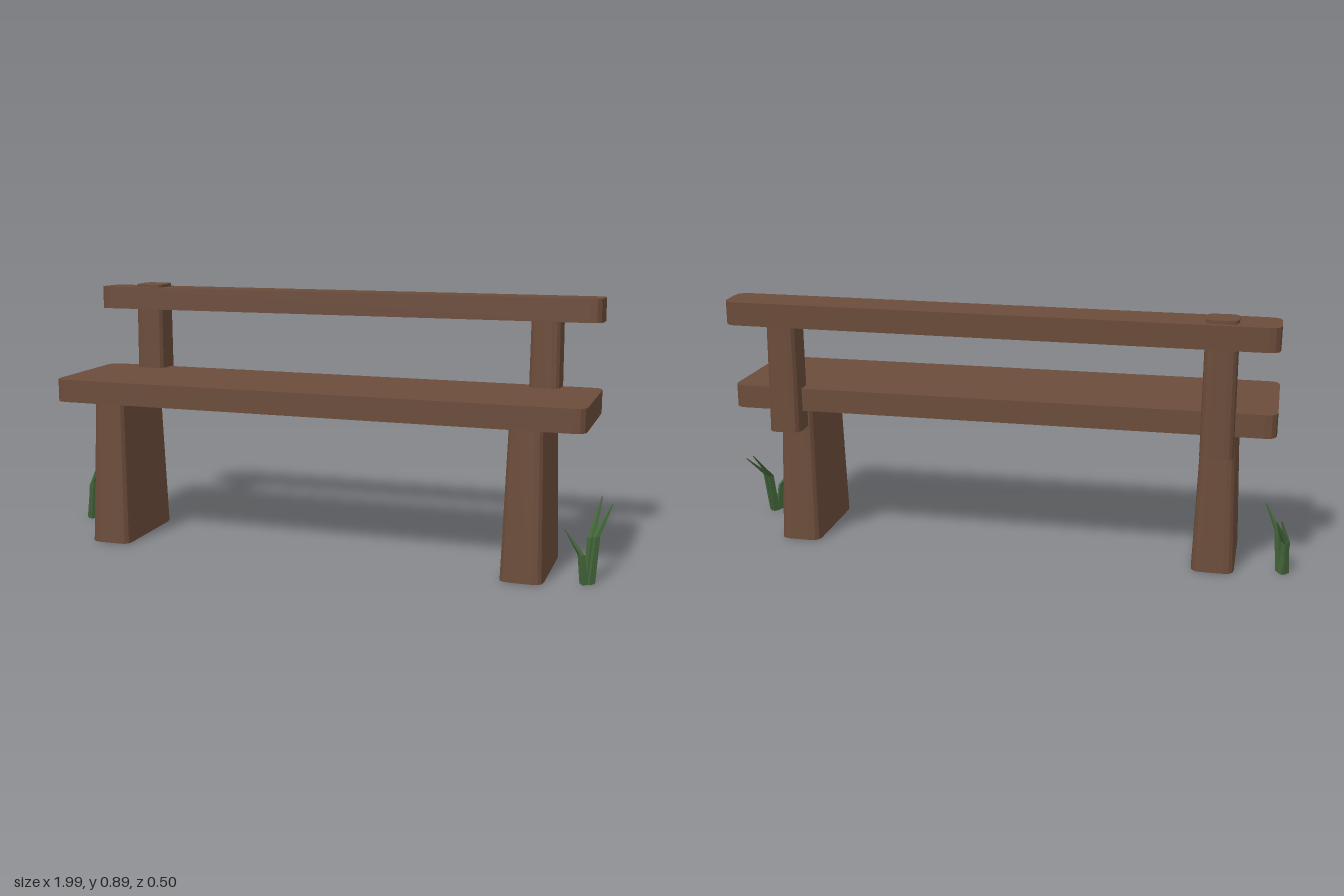
import * as THREE from 'three';

const wood = new THREE.MeshStandardMaterial({ color: 0x6b4c3a, flatShading: true });
wood.name = 'brown wood';
const green = new THREE.MeshStandardMaterial({ color: 0x44663b, flatShading: true, side: THREE.DoubleSide });
green.name = 'grass green';

// Upright block with rounded plan corners; sx, sz shrink the top end
function block(name, x0, x1, y0, y1, z0, z1, r, sx = 1, sz = 1) {
  const w = (x1 - x0) / 2, d = (z1 - z0) / 2, h = y1 - y0;
  const s = new THREE.Shape();
  s.moveTo(-w + r, -d);
  s.lineTo(w - r, -d);
  s.quadraticCurveTo(w, -d, w, -d + r);
  s.lineTo(w, d - r);
  s.quadraticCurveTo(w, d, w - r, d);
  s.lineTo(-w + r, d);
  s.quadraticCurveTo(-w, d, -w, d - r);
  s.lineTo(-w, -d + r);
  s.quadraticCurveTo(-w, -d, -w + r, -d);
  const g = new THREE.ExtrudeGeometry(s, { depth: h, bevelEnabled: false, curveSegments: 3 });
  g.rotateX(-Math.PI / 2);
  g.translate(0, -h / 2, 0);
  const p = g.attributes.position;
  for (let i = 0; i < p.count; i++) {
    const t = p.getY(i) / h + 0.5;
    p.setX(i, p.getX(i) * (1 + (sx - 1) * t));
    p.setZ(i, p.getZ(i) * (1 + (sz - 1) * t));
  }
  g.computeVertexNormals();
  const m = new THREE.Mesh(g, wood);
  m.name = name;
  m.position.set((x0 + x1) / 2, (y0 + y1) / 2, (z0 + z1) / 2);
  return m;
}

// Bent grass blade: diamond sections at base and knee, closing to a point
function blade(base, knee, tip, width) {
  const pos = [], idx = [];
  const ring = (c, a, b) => pos.push(
    c[0] - a, c[1], c[2], c[0], c[1], c[2] + b,
    c[0] + a, c[1], c[2], c[0], c[1], c[2] - b);
  ring(base, width * 0.8, width);
  ring(knee, width * 0.65, width * 0.8);
  ring(tip, 0.002, 0.003);
  for (let k = 0; k < 2; k++) {
    for (let j = 0; j < 4; j++) {
      const a = k * 4 + j, b = k * 4 + (j + 1) % 4;
      idx.push(a, b, b + 4, a, b + 4, a + 4);
    }
  }
  idx.push(0, 2, 1, 0, 3, 2, 8, 9, 10, 8, 10, 11);
  const g = new THREE.BufferGeometry();
  g.setAttribute('position', new THREE.Float32BufferAttribute(pos, 3));
  g.setIndex(idx);
  g.computeVertexNormals();
  const m = new THREE.Mesh(g, green);
  m.name = 'grassBlade';
  return m;
}

function clump(name, blades) {
  const g = new THREE.Group();
  g.name = name;
  blades.forEach(b => g.add(blade(...b)));
  return g;
}

export function createModel() {
  const model = new THREE.Group();
  model.name = 'bench';

  // Seat plank and slightly crooked back rail
  const seat = block('seat', -0.932, 0.925, 0.509, 0.588, -0.187, 0.248, 0.04);
  seat.rotation.x = -0.005;
  const rail = block('backRail', -0.929, 0.921, 0.81, 0.89, -0.246, -0.1, 0.04);
  rail.rotation.set(-0.03, 0.003, 0.005);
  model.add(seat, rail);

  // Tapered legs
  model.add(block('rightLeg', -0.815, -0.67, 0.006, 0.53, -0.13, 0.236, 0.035, 0.78, 0.88));
  model.add(block('leftLeg', 0.659, 0.803, 0.006, 0.53, -0.13, 0.236, 0.035, 0.8, 0.88));

  // Back posts; the right one pokes through the rail
  model.add(block('rightPost', -0.798, -0.688, 0.44, 0.897, -0.232, -0.119, 0.03, 0.96, 0.95));
  model.add(block('leftPost', 0.676, 0.786, 0.44, 0.892, -0.232, -0.119, 0.03, 0.94, 0.95));

  // Grass tufts beside the legs
  model.add(clump('leftGrass', [
    [[0.945, 0.004, 0.155], [0.955, 0.155, 0.125], [0.994, 0.243, 0.035], 0.02],
    [[0.935, 0.004, 0.15], [0.94, 0.15, 0.125], [0.957, 0.26, 0.014], 0.02],
    [[0.927, 0.004, 0.168], [0.915, 0.1, 0.167], [0.86, 0.18, 0.164], 0.018],
  ]));
  model.add(clump('rightGrass', [
    [[-0.982, 0.004, -0.07], [-0.98, 0.12, -0.085], [-0.948, 0.21, -0.145], 0.021],
    [[-0.968, 0.004, -0.06], [-0.955, 0.15, -0.06], [-0.91, 0.235, -0.03], 0.019],
    [[-0.975, 0.004, -0.075], [-0.985, 0.12, -0.085], [-0.965, 0.2, -0.1], 0.018],
  ]));
  return model;
}
